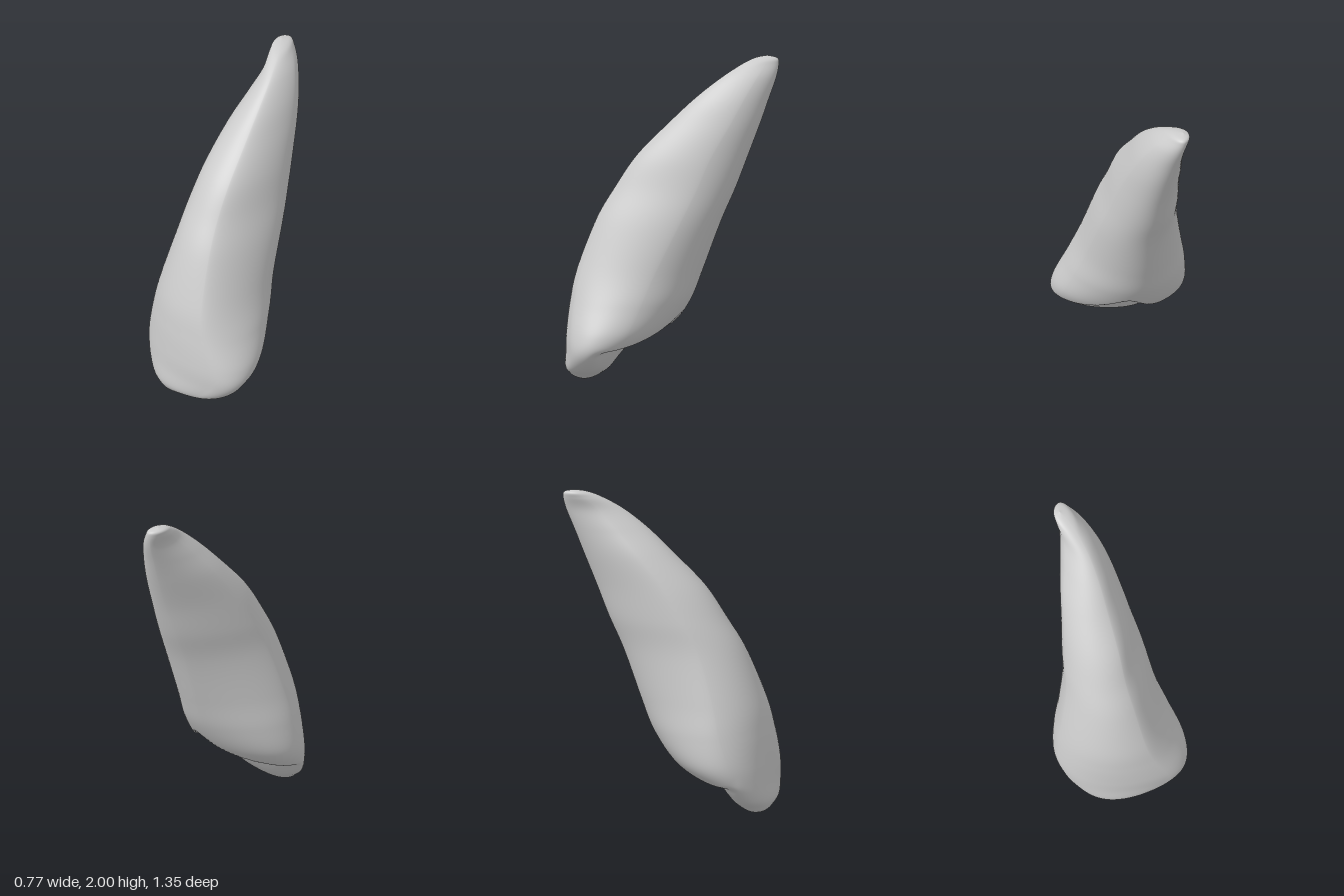
import * as THREE from 'three';

const { smoothstep } = THREE.MathUtils;

// Cross-sections up the tooth: y, x of both side edges, z of front/back ridges, x of front/back ridges
const SECTIONS = [
  [0, -0.14, -0.14, 0.48, 0.48, -0.14, -0.14],
  [0.02, -0.22, -0.05, 0.54, 0.42, -0.13, -0.14],
  [0.05, -0.26, 0.04, 0.59, 0.37, -0.08, -0.12],
  [0.1, -0.31, 0.2, 0.65, 0.29, 0.04, -0.08],
  [0.2, -0.36, 0.32, 0.675, 0.14, 0.14, -0.02],
  [0.32, -0.385, 0.377, 0.67, -0.01, 0.13, 0.03],
  [0.5, -0.365, 0.365, 0.63, -0.125, 0.08, 0.09],
  [0.7, -0.32, 0.345, 0.57, -0.2, 0.05, 0.11],
  [1, -0.24, 0.35, 0.44, -0.3, 0.05, 0.13],
  [1.2, -0.19, 0.345, 0.32, -0.385, 0.06, 0.15],
  [1.4, -0.13, 0.34, 0.19, -0.46, 0.09, 0.18],
  [1.6, -0.05, 0.335, 0, -0.54, 0.13, 0.19],
  [1.75, 0.03, 0.318, -0.15, -0.6, 0.16, 0.19],
  [1.87, 0.093, 0.285, -0.3, -0.65, 0.18, 0.19],
  [1.95, 0.105, 0.24, -0.44, -0.672, 0.18, 0.18],
  [1.985, 0.115, 0.21, -0.53, -0.665, 0.17, 0.17],
  [2, 0.155, 0.155, -0.61, -0.61, 0.155, 0.155],
];

// Smooth line running up one side of the tooth
const edge = (point) => new THREE.CatmullRomCurve3(
  SECTIONS.map((s) => new THREE.Vector3(...point(s))), false, 'catmullrom', 0.5);

// z of a side edge: midway between the ridges, slanted one way at the crown and the other at the root
function sideZ([y, x0, x1, zFront, zBack], sign) {
  const slant = 0.07 - 0.16 * smoothstep(y, 0.3, 1.2);
  return (zFront + zBack) / 2 + sign * slant * (x1 - x0);
}

// Arched hollow on the lower back of the crown, widening downward from its apex
const APEX = new THREE.Vector3(0.17, 0.49, -0.03);
const INWARD = new THREE.Vector3(-0.3, 0.5, 0.8).normalize();
const UPWARD = new THREE.Vector3(0, 1, 0).projectOnPlane(INWARD).normalize();
const ACROSS = UPWARD.clone().cross(INWARD);
function pressHollow(p) {
  const d = p.clone().sub(APEX);
  const down = -d.dot(UPWARD);
  const inside = smoothstep(down - 1.2 * Math.hypot(d.dot(ACROSS), 0.04), -0.02, 0.1);
  const fade = (1 - smoothstep(down, 0.35, 0.65)) * (1 - smoothstep(d.dot(INWARD), 0.2, 0.36));
  p.addScaledVector(INWARD, 0.085 * inside * fade);
}

function toothGeometry(levels = 176, sides = 128) {
  const curves = [
    edge((s) => [s[1], s[0], sideZ(s, -1)]),
    edge((s) => [s[2], s[0], sideZ(s, 1)]),
    edge((s) => [s[5], s[0], s[3]]),
    edge((s) => [s[6], s[0], s[4]]),
  ];
  const positions = [], index = [];

  for (let i = 0; i <= levels; i++) {
    const t = i / levels;
    const [low, high, front, back] = curves.map((c) => c.getPoint(t));
    const mid = new THREE.Vector3((front.x + back.x) / 2, low.y, (low.z + high.z) / 2);
    // Round at both ends; along the root, two opposite quarters are flatter
    const root = smoothstep(t, 0.2, 0.5) * (1 - smoothstep(t, 0.8, 0.92));
    for (let j = 0; j < sides; j++) {
      const a = (j / sides) * Math.PI * 2;
      const c = Math.cos(a), s = Math.sin(a);
      const power = c * s > 0 ? 1 + 0.27 * root : 0.93 + 0.1 * root;
      const p = mid.clone()
        .addScaledVector((c > 0 ? high : low).clone().sub(mid), Math.abs(c) ** power)
        .addScaledVector((s > 0 ? front : back).clone().sub(mid), Math.abs(s) ** power);
      pressHollow(p);
      positions.push(p.x, p.y, p.z);
      if (i < levels) {
        const k = (j + 1) % sides, lo = i * sides, hi = lo + sides;
        index.push(lo + j, hi + j, lo + k, hi + j, hi + k, lo + k);
      }
    }
  }
  const geometry = new THREE.BufferGeometry();
  geometry.setAttribute('position', new THREE.Float32BufferAttribute(positions, 3));
  geometry.setIndex(index);
  geometry.computeVertexNormals();
  return geometry;
}

export function createModel() {
  const group = new THREE.Group();
  group.name = 'tooth';
  const body = new THREE.Mesh(toothGeometry(), new THREE.MeshStandardMaterial({ color: 0xcccccc }));
  body.name = 'crownAndRoot';
  group.add(body);
  return group;
}
